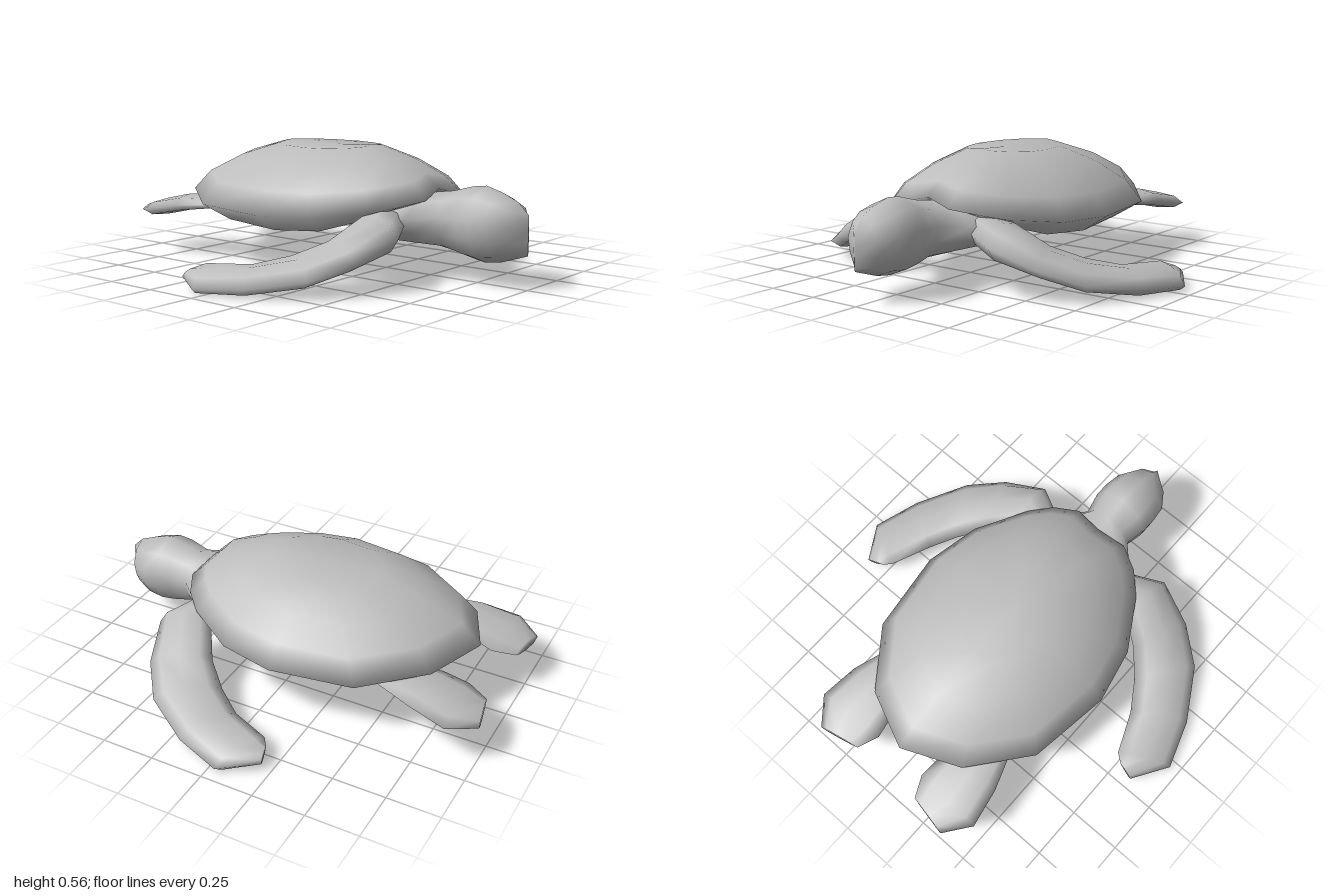
import * as THREE from 'three';

const skin = new THREE.MeshStandardMaterial({ color: 0xbcbcbc, side: THREE.DoubleSide });
skin.name = 'plain grey';

// Smooth skin through closed rings of [x, y, z] points; ends can be capped.
function loft(name, rings, capStart, capEnd) {
  const n = rings[0].length;
  const pts = rings.flat();
  const faces = [];
  for (let r = 0; r < rings.length - 1; r++) {
    for (let i = 0; i < n; i++) {
      const a = r * n + i, b = r * n + (i + 1) % n;
      faces.push([a, b, b + n], [a, b + n, a + n]);
    }
  }
  const cap = (r, flip) => {
    const c = pts.length;
    pts.push([0, 1, 2].map(k => rings[r].reduce((s, p) => s + p[k], 0) / n));
    for (let i = 0; i < n; i++) {
      const a = r * n + i, b = r * n + (i + 1) % n;
      faces.push(flip ? [b, a, c] : [a, b, c]);
    }
  };
  if (capStart) cap(0, true);
  if (capEnd) cap(rings.length - 1, false);

  // Turn every face outward, judged by the enclosed volume.
  const v = pts.map(p => new THREE.Vector3(...p));
  let volume = 0;
  for (const [a, b, c] of faces) volume += v[a].dot(v[b].clone().cross(v[c]));
  if (volume < 0) faces.forEach(f => f.reverse());

  const geometry = new THREE.BufferGeometry().setFromPoints(v);
  geometry.setIndex(faces.flat());
  geometry.computeVertexNormals();
  const mesh = new THREE.Mesh(geometry, skin);
  mesh.name = name;
  return mesh;
}

// Complete a half outline that starts and ends on x = 0.
const mirrorHalf = half => [
  ...half,
  ...half.slice(1, -1).reverse().map(([x, y, z]) => [-x, y, z]),
];

// Domed shell: open lip below, widest rim, then shrinking rings to the crown.
function makeShell() {
  const lip = mirrorHalf([
    [0, 0.4, 0.45], [0.12, 0.34, 0.47], [0.2, 0.31, 0.42], [0.27, 0.27, 0.33], [0.36, 0.215, 0.15],
    [0.4, 0.2, -0.08], [0.36, 0.21, -0.4], [0.2, 0.235, -0.65], [0, 0.26, -0.72],
  ]);
  const rim = mirrorHalf([
    [0, 0.4, 0.54], [0.14, 0.365, 0.567], [0.25, 0.345, 0.51], [0.34, 0.32, 0.42], [0.48, 0.29, 0.19],
    [0.535, 0.285, -0.07], [0.48, 0.29, -0.46], [0.27, 0.32, -0.73], [0, 0.34, -0.85],
  ]);
  const centreZ = -0.06, crown = 0.595;
  const dome = [[0.88, 0.33], [0.65, 0.64], [0.37, 0.88]].map(([k, f]) =>
    rim.map(([x, y, z]) => [x * k, y + (crown - y) * f, centreZ + (z - centreZ) * k]));
  return loft('shell', [lip, rim, ...dome], false, true);
}

// Head, neck and chest as one body, open at the back of the chest.
function makeBody() {
  const section = [[0, 1], [0.68, 0.74], [1, 0.2], [0.88, -0.35], [0.62, -0.78], [0, -1]];
  // z, half width, top, bottom
  const stations = [
    [0.25, 0.3, 0.34, 0.18], [0.4, 0.31, 0.37, 0.165], [0.52, 0.22, 0.385, 0.15],
    [0.62, 0.125, 0.4, 0.135], [0.72, 0.148, 0.428, 0.113], [0.79, 0.148, 0.437, 0.1],
    [0.87, 0.138, 0.415, 0.112], [0.95, 0.085, 0.38, 0.138], [1, 0.004, 0.33, 0.155],
  ];
  const rings = stations.map(([z, w, top, bottom]) => mirrorHalf(section.map(([x, y]) =>
    [x * w, (top + bottom) / 2 + y * (top - bottom) / 2, z])));
  return loft('headAndChest', rings, false, true);
}

// Flipper from stations of leading point, trailing point and half thickness.
function makeFlipper(name, side, stations) {
  const lens = [[0, 0], [0.15, 0.75], [0.45, 1], [0.8, 0.65], [1, 0], [0.8, -0.65], [0.45, -1], [0.15, -0.75]];
  const rings = stations.map(([lead, trail, h]) => lens.map(([t, e]) => {
    const p = lead.map((c, k) => c + (trail[k] - c) * t);
    return [p[0] * side, p[1] + e * h, p[2]];
  }));
  return loft(name, rings, true, true);
}

const frontStations = [
  [[0.2, 0.26, 0.5], [0.2, 0.27, 0.28], 0.075],
  [[0.38, 0.23, 0.6], [0.36, 0.255, 0.33], 0.078],
  [[0.58, 0.15, 0.53], [0.47, 0.18, 0.26], 0.055],
  [[0.74, 0.085, 0.41], [0.57, 0.125, 0.15], 0.052],
  [[0.88, 0.045, 0.18], [0.65, 0.085, 0.03], 0.05],
  [[0.955, 0.03, -0.04], [0.73, 0.085, -0.16], 0.042],
  [[0.85, 0.045, -0.21], [0.77, 0.075, -0.19], 0.015],
];

const hindStations = [
  [[0.37, 0.27, -0.5], [0.22, 0.29, -0.56], 0.03],
  [[0.44, 0.255, -0.7], [0.15, 0.26, -0.74], 0.04],
  [[0.47, 0.22, -0.88], [0.135, 0.225, -0.86], 0.04],
  [[0.375, 0.2, -1], [0.18, 0.205, -0.96], 0.025],
];

export function createModel() {
  const turtle = new THREE.Group();
  turtle.name = 'turtle';
  turtle.add(makeShell(), makeBody());
  for (const [label, side] of [['Left', 1], ['Right', -1]]) {
    turtle.add(
      makeFlipper('frontFlipper' + label, side, frontStations),
      makeFlipper('hindFlipper' + label, side, hindStations),
    );
  }
  return turtle;
}
